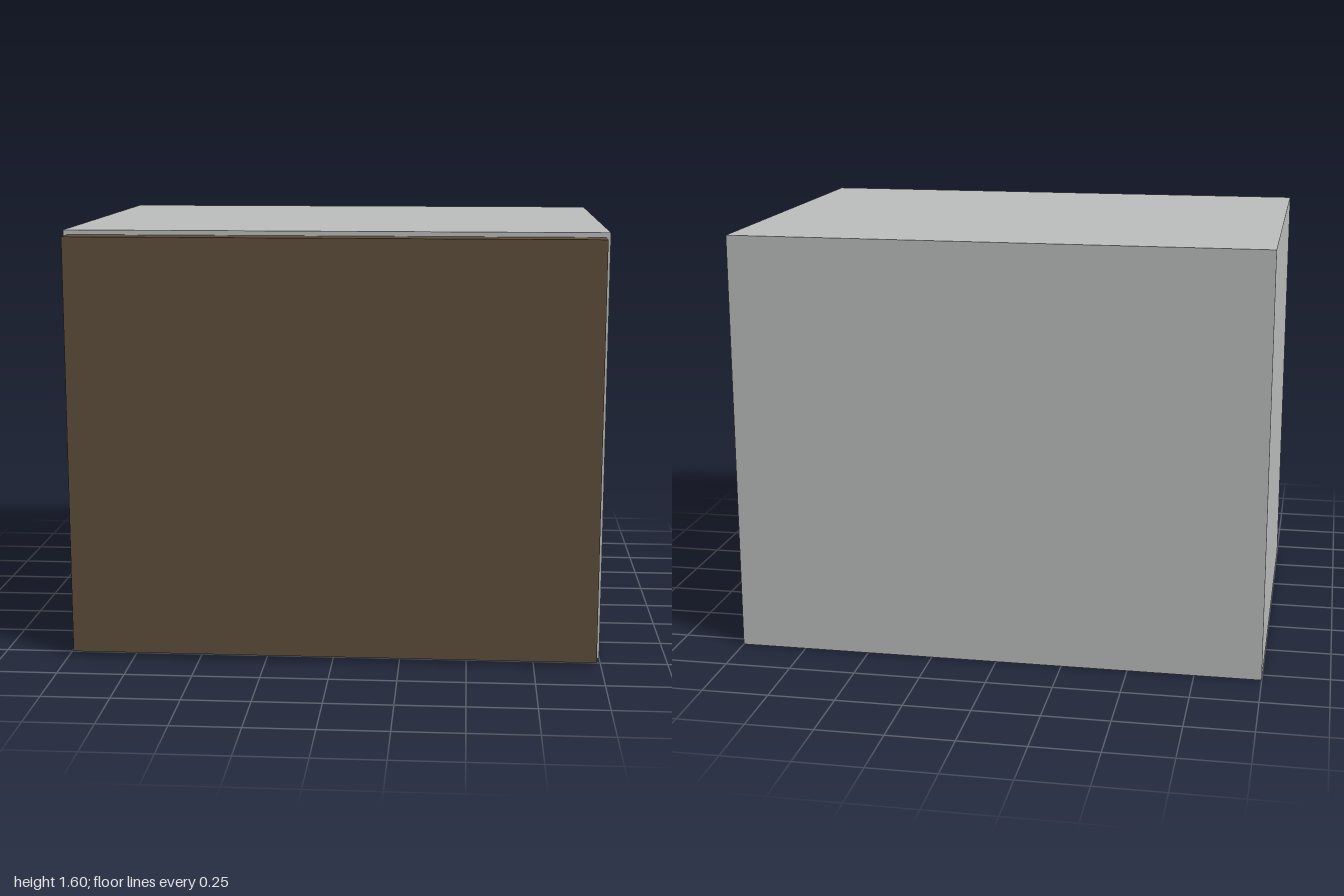
import * as THREE from 'three';

export function createModel() {
  const group = new THREE.Group();
  group.name = 'cabinet';

  const greyPanel = new THREE.MeshStandardMaterial({ color: 0xbdbfbe });
  greyPanel.name = 'grey panel';
  const brownWood = new THREE.MeshStandardMaterial({ color: 0x5f4e3b });
  brownWood.name = 'brown wood';

  // Box given by its minimum and maximum corners
  function addBox(name, material, min, max) {
    const size = max.map((v, i) => v - min[i]);
    const mesh = new THREE.Mesh(new THREE.BoxGeometry(...size), material);
    mesh.position.set(...max.map((v, i) => (v + min[i]) / 2));
    mesh.name = name;
    group.add(mesh);
  }

  const height = 1.6, back = -0.8, bodyFront = 0.695, doorFront = 0.8;
  const inner = 0.905, reveal = 0.017;

  // Body between the side panels
  addBox('body', greyPanel, [-inner, 0, back], [inner, height, bodyFront]);

  // Side panels, flush with the body
  addBox('leftSidePanel', greyPanel, [inner, 0, back], [1, height, bodyFront]);
  addBox('rightSidePanel', greyPanel, [-1, 0, back], [-inner, height, bodyFront]);

  // Overlay door, set in slightly from the body outline
  addBox('door', brownWood, [-1 + reveal, reveal, bodyFront], [1 - reveal, height - reveal, doorFront]);

  return group;
}
